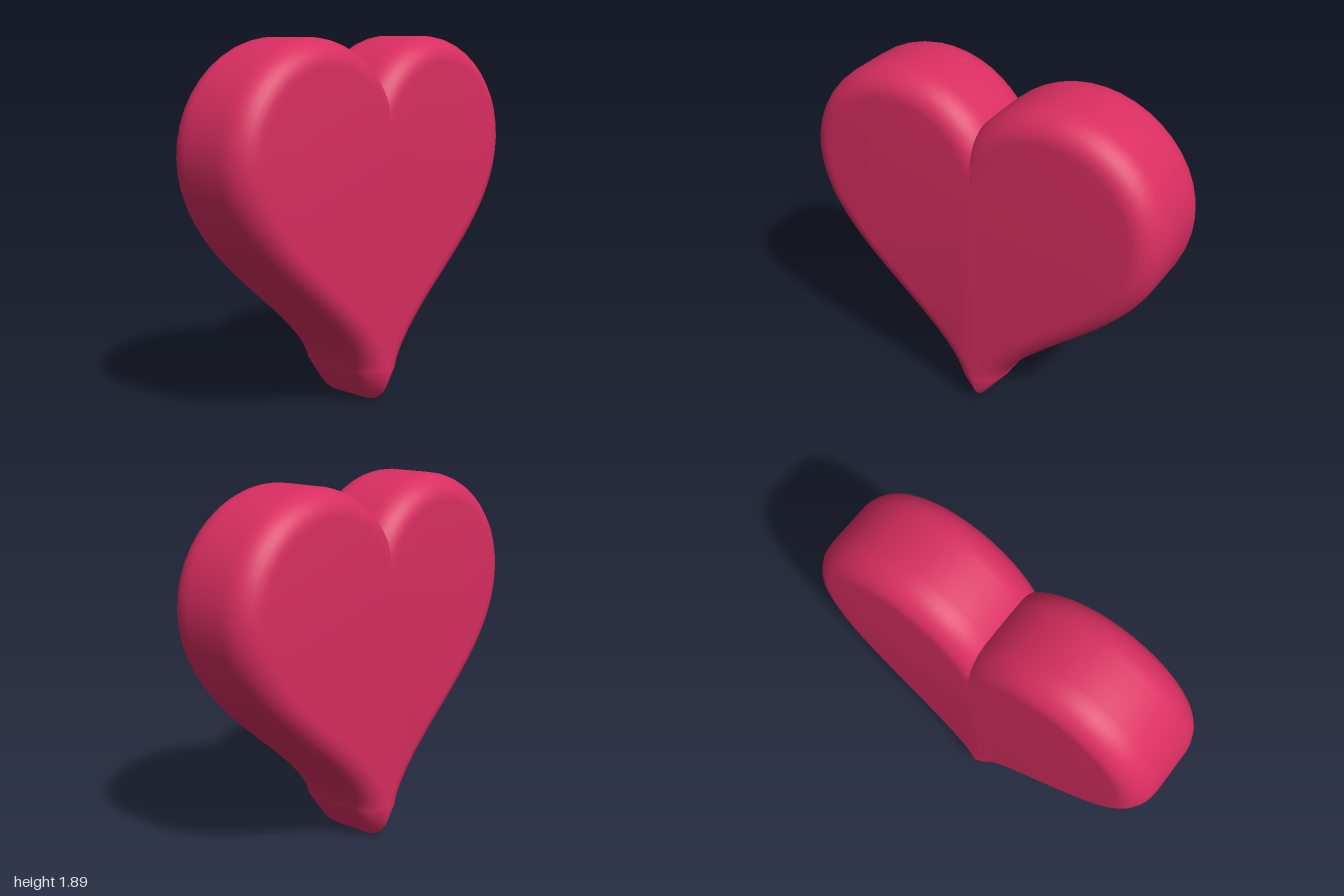
import * as THREE from 'three';
import { toCreasedNormals } from 'three/addons/utils/BufferGeometryUtils.js';

const BEVEL = 0.13;                 // how far the rounded rim swells outward
const RIM_DEPTH = 0.16;             // depth of the rounding on each face
const HALF_DEPTH = 0.273;
const SCALE = (1 - BEVEL) / 16;
const STEPS = 100;

// Heart curve with a cusp at the notch and another at the tip
function heartPoint(t) {
  const x = 16 * Math.sin(t) ** 3;
  const y = 13 * Math.cos(t) - 5 * Math.cos(2 * t) - 2 * Math.cos(3 * t) - Math.cos(4 * t);
  return new THREE.Vector2(x * SCALE, y * SCALE);
}

export function createModel() {
  const group = new THREE.Group();
  group.name = 'heart';

  const outline = [];
  for (let i = 0; i < STEPS; i++) outline.push(heartPoint((i / STEPS) * Math.PI * 2));

  // Thick body with a rounded rim on both faces
  const depth = 2 * (HALF_DEPTH - RIM_DEPTH);
  const extruded = new THREE.ExtrudeGeometry(new THREE.Shape(outline), {
    depth,
    bevelEnabled: true,
    bevelSize: BEVEL,
    bevelThickness: RIM_DEPTH,
    bevelSegments: 8,
  });
  extruded.translate(0, 0, -depth / 2);

  // Stand the tip on the ground
  extruded.computeBoundingBox();
  extruded.translate(0, -extruded.boundingBox.min.y, 0);

  const body = new THREE.Mesh(
    toCreasedNormals(extruded, 0.6),
    new THREE.MeshStandardMaterial({ color: 0xd92e61 }),
  );
  body.name = 'heartBody';
  group.add(body);
  return group;
}
